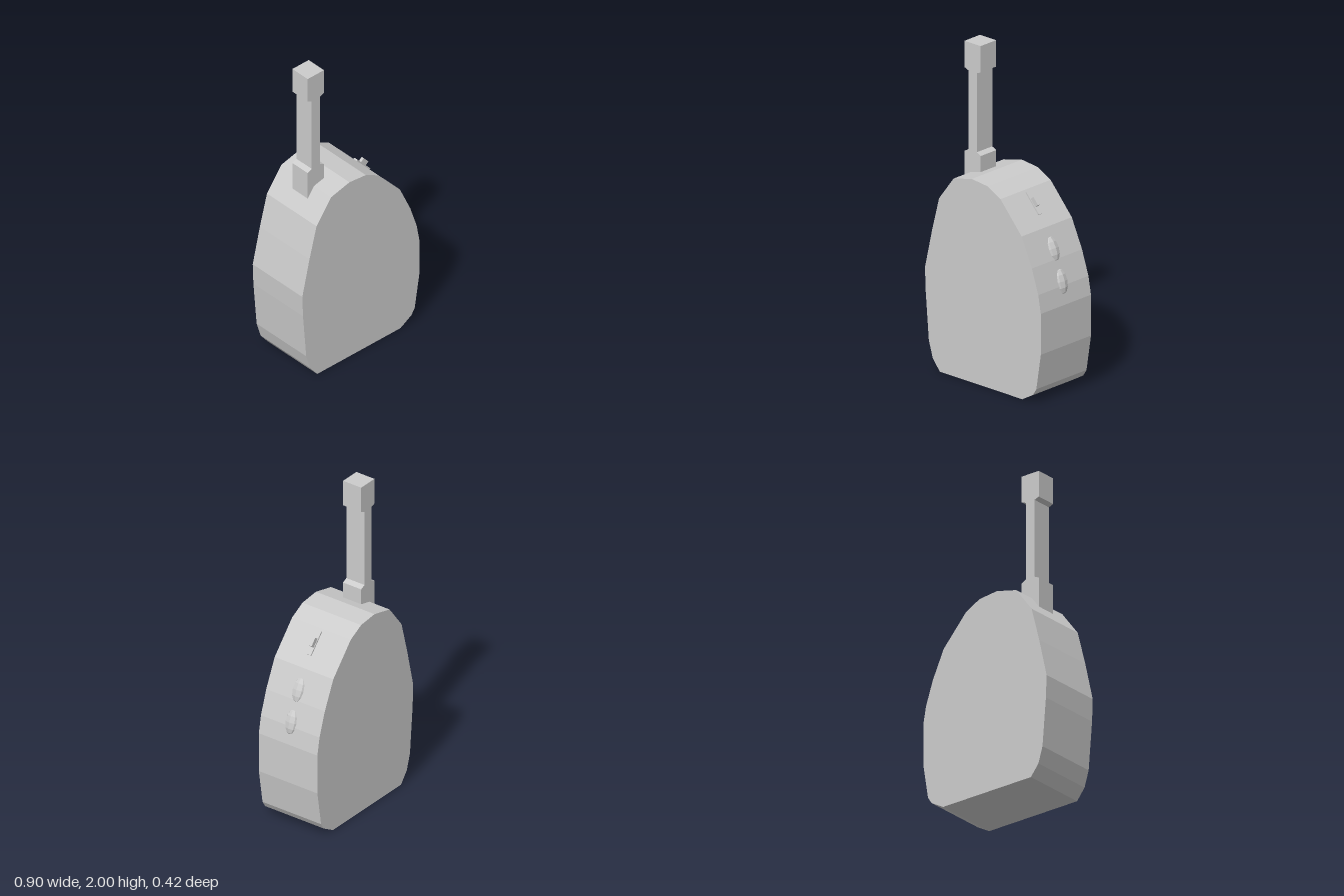
import * as THREE from 'three';

const material = new THREE.MeshStandardMaterial({ color: 0xcccccc, flatShading: true });

function addMesh(parent, name, geometry) {
  const mesh = new THREE.Mesh(geometry, material);
  mesh.name = name;
  parent.add(mesh);
  return mesh;
}

// Extrude a front outline symmetrically about z = 0
function slab(points, depth) {
  const shape = new THREE.Shape(points.map(([x, y]) => new THREE.Vector2(x, y)));
  return new THREE.ExtrudeGeometry(shape, { depth, bevelEnabled: false })
    .translate(0, 0, -depth / 2);
}

export function createModel() {
  const model = new THREE.Group();
  model.name = 'handheldRadio';

  // Flat-faced rounded case
  addMesh(model, 'body', slab([
    [-0.34, 0], [0.305, 0], [0.39, 0.05], [0.415, 0.09], [0.45, 0.31],
    [0.45, 0.56], [0.43, 0.67], [0.38, 0.82], [0.30, 0.995], [0.135, 1.18],
    [0.037, 1.232], [-0.09, 1.245], [-0.232, 1.21], [-0.345, 1.06],
    [-0.40, 0.85], [-0.455, 0.61], [-0.45, 0.47], [-0.425, 0.17], [-0.395, 0.07],
  ], 0.42));

  // Antenna: wide foot, narrow shaft, wide tip
  const half = [[0.063, 1.12], [0.063, 1.327], [0.032, 1.342], [0.032, 1.826], [0.063, 1.838], [0.063, 2]];
  const antenna = addMesh(model, 'antenna', slab([
    ...half, ...half.map(([x, y]) => [-x, y]).reverse(),
  ], 0.13));
  antenna.position.x = -0.218;

  // Faceted oval buttons on the sloping side
  [[0.345, 0.873, 0.42], [0.412, 0.692, 0.29]].forEach(([x, y, tilt], i) => {
    const button = addMesh(model, `button${i + 1}`, new THREE.SphereGeometry(1, 8, 6));
    button.scale.set(0.03, 0.077, 0.044);
    button.position.set(x, y, 0);
    button.rotation.z = tilt;
  });

  // Slide switch: local y runs up the shoulder, local x points outwards
  const slider = new THREE.Group();
  slider.name = 'switch';
  slider.position.set(0.196, 1.112, 0);
  slider.rotation.z = 0.728;
  model.add(slider);
  addMesh(slider, 'switchPlate', new THREE.BoxGeometry(0.016, 0.15, 0.026));
  addMesh(slider, 'switchLever', new THREE.BoxGeometry(0.07, 0.055, 0.018));

  return model;
}
